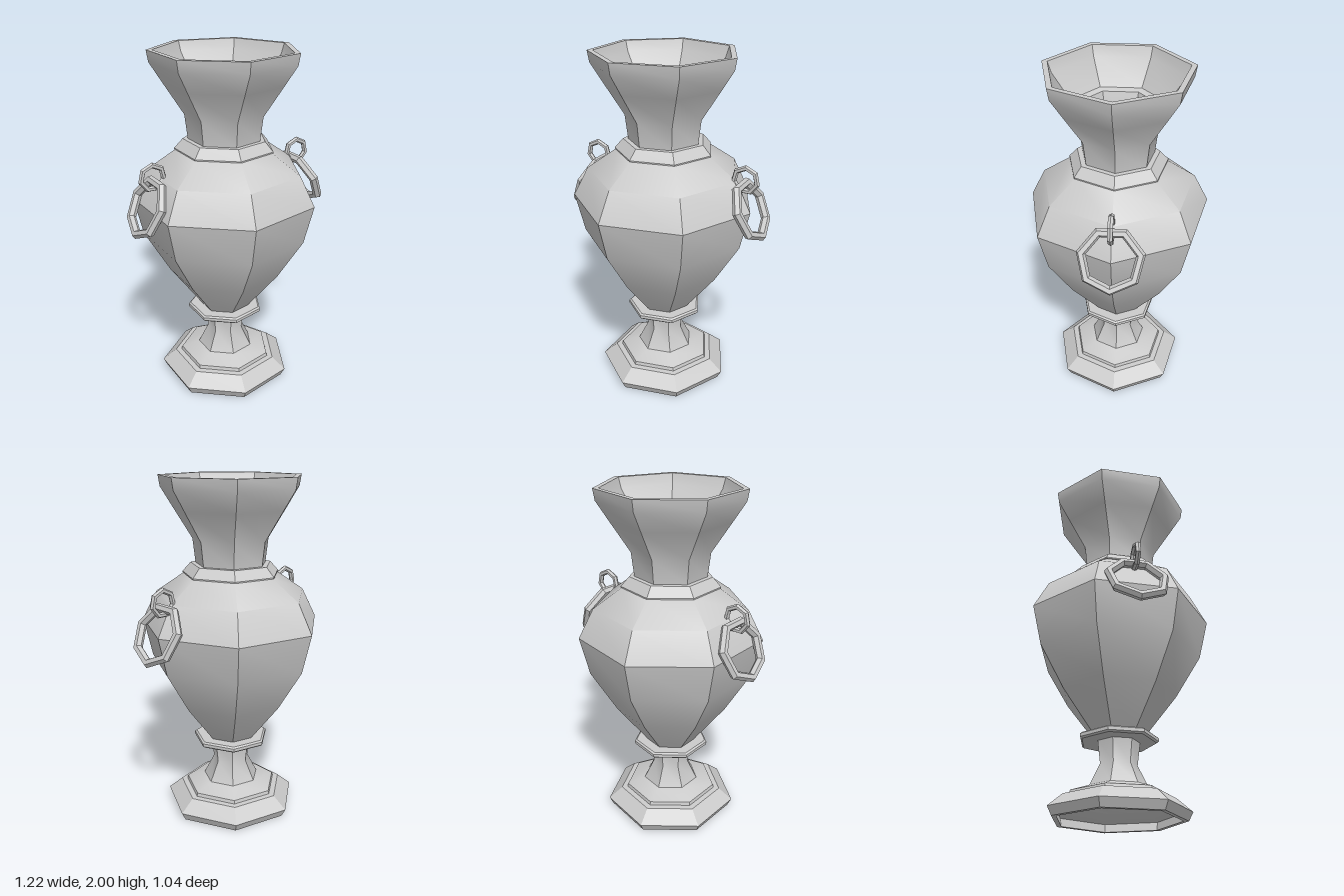
import * as THREE from 'three';
import { toCreasedNormals } from 'three/addons/utils/BufferGeometryUtils.js';

const SIDES = 7;
const CREASE = 0.6;

export function createModel() {
  const model = new THREE.Group();
  model.name = 'urn';
  const material = new THREE.MeshStandardMaterial({ color: 0xcccccc, side: THREE.DoubleSide });

  function add(name, geometry, parent) {
    const mesh = new THREE.Mesh(toCreasedNormals(geometry, CREASE), material);
    mesh.name = name;
    parent.add(mesh);
    return mesh;
  }

  // Seven-sided turned part with a corner on +x; profile is [radius, height]
  const vessel = new THREE.Group();
  vessel.name = 'vessel';
  vessel.position.x = -0.021;
  model.add(vessel);
  function turned(name, profile) {
    const points = profile.map(([r, y]) => new THREE.Vector2(r, y));
    add(name, new THREE.LatheGeometry(points, SIDES, Math.PI / 2), vessel);
  }

  // Hollow stepped foot and waisted stem
  turned('foot', [
    [0, 0.3], [0.07, 0.3], [0.12, 0.16], [0.25, 0.11], [0.27, 0.09], [0.355, 0.045], [0.345, 0],
    [0.373, 0], [0.398, 0.048], [0.315, 0.118], [0.28, 0.12], [0.275, 0.14], [0.167, 0.177],
  ]);
  turned('stem', [[0.167, 0.177], [0.107, 0.297], [0.123, 0.43]]);

  // Thin band between stem and body
  turned('stemBand', [
    [0, 0.425], [0.215, 0.425], [0.226, 0.434], [0.226, 0.452], [0.215, 0.461], [0, 0.461],
  ]);

  // Swelling body
  turned('body', [
    [0.145, 0.455], [0.331, 0.695], [0.478, 0.94], [0.532, 1.167], [0.445, 1.337], [0.275, 1.455],
  ]);

  // Sloped collar at the base of the neck
  turned('collar', [[0, 1.453], [0.285, 1.453], [0.285, 1.46], [0.237, 1.513], [0, 1.513]]);

  // Flared neck, lip and stepped inside of the mouth
  turned('neck', [
    [0.207, 1.51], [0.224, 1.65], [0.333, 1.82], [0.406, 1.935], [0.417, 2],
    [0.385, 2], [0.365, 1.94], [0.266, 1.8], [0.228, 1.79], [0.185, 1.65], [0.183, 1.515],
  ]);

  // Handles: a small fixed eyelet and a large hanging ring on each side
  for (const side of [1, -1]) {
    const handle = new THREE.Group();
    handle.name = side > 0 ? 'leftHandle' : 'rightHandle';
    model.add(handle);

    const eyelet = new THREE.TorusGeometry(0.069, 0.016, 6, SIDES).rotateZ(Math.PI / 2);
    add('eyelet', eyelet, handle).position.set(0.473 * side, 1.358, 0);

    const ring = new THREE.TorusGeometry(0.159, 0.026, 6, SIDES)
      .rotateZ(-Math.PI / 2).rotateY(Math.PI / 2).rotateZ(0.45 * side);
    add('hangingRing', ring, handle).position.set(0.514 * side, 1.19, 0);
  }

  return model;
}
